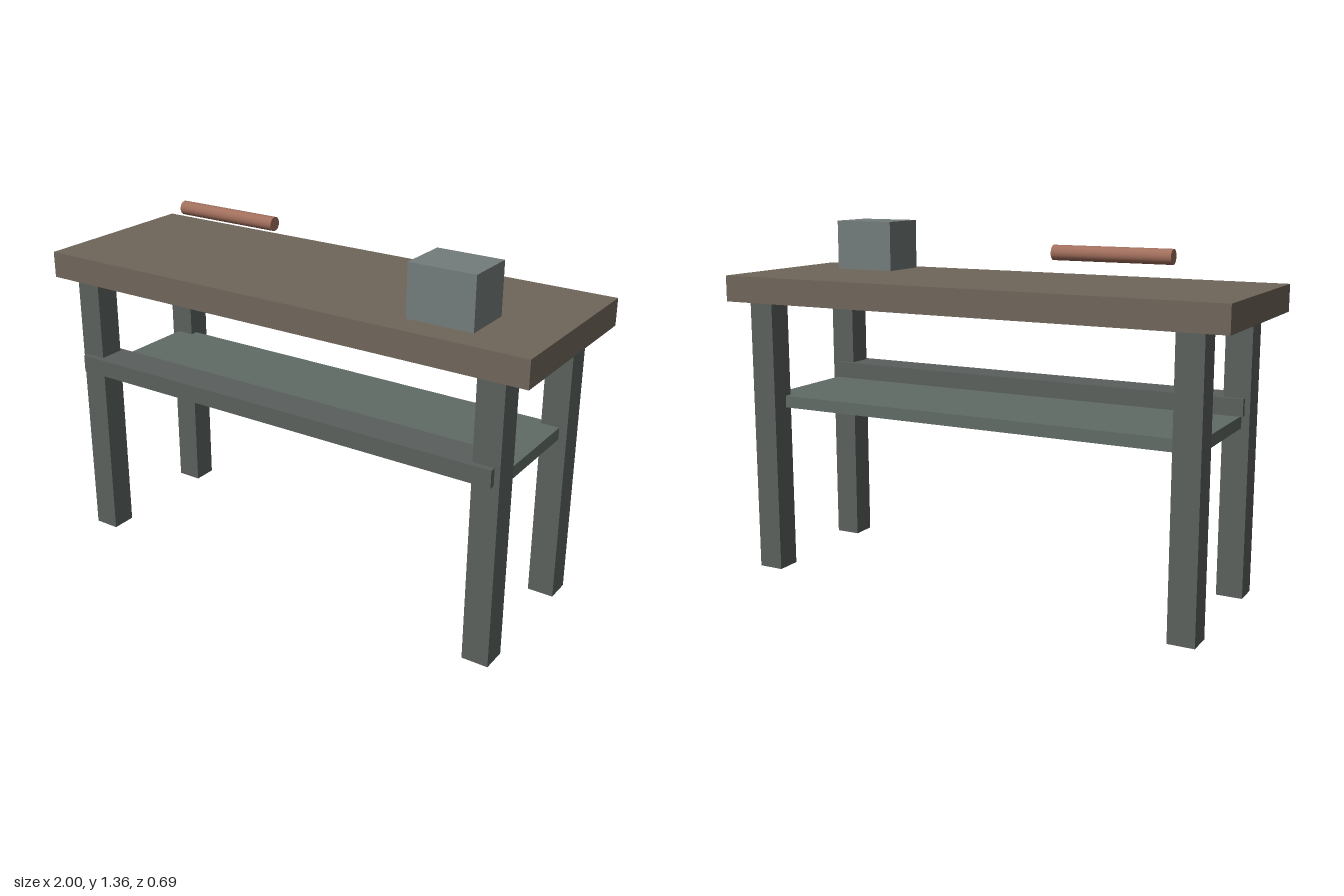
import * as THREE from 'three';

const material = (color) => new THREE.MeshStandardMaterial({ color });

export function createModel() {
  const model = new THREE.Group();
  model.name = 'workbench';

  const wood = material(0x70665a);
  const steel = material(0x5a605d);
  const shelfSteel = material(0x606b65);
  const boxGrey = material(0x737d7b);
  const copper = material(0xa06e5c);

  // Box given by its min and max corners
  const block = (name, mat, [x0, y0, z0], [x1, y1, z1]) => {
    const mesh = new THREE.Mesh(new THREE.BoxGeometry(x1 - x0, y1 - y0, z1 - z0), mat);
    mesh.position.set((x0 + x1) / 2, (y0 + y1) / 2, (z0 + z1) / 2);
    mesh.name = name;
    model.add(mesh);
  };

  // Thick worktop
  block('tabletop', wood, [-1, 1.063, -0.347], [1, 1.163, 0.347]);

  // Four square legs
  for (const [side, x] of [['Right', -0.86], ['Left', 0.86]]) {
    for (const [end, z] of [['front', 0.267], ['back', -0.267]]) {
      block(`${end}${side}Leg`, steel, [x - 0.05, 0, z - 0.049], [x + 0.05, 1.063, z + 0.049]);
    }
  }

  // Lower shelf let into the legs, with a rail along its front
  block('shelf', shelfSteel, [-0.88, 0.646, -0.248], [0.88, 0.692, 0.248]);
  block('frontRail', steel, [-0.89, 0.692, 0.2], [0.89, 0.757, 0.339]);

  // Box on the worktop
  block('storageBox', boxGrey, [0.512, 1.168, 0.06], [0.76, 1.36, 0.254]);

  // Round rod lying along x, just above the worktop
  const rod = new THREE.Mesh(new THREE.CylinderGeometry(0.027, 0.027, 0.442, 20), copper);
  rod.name = 'rod';
  rod.rotation.z = Math.PI / 2;
  rod.position.set(-0.502, 1.28, -0.111);
  model.add(rod);

  return model;
}
